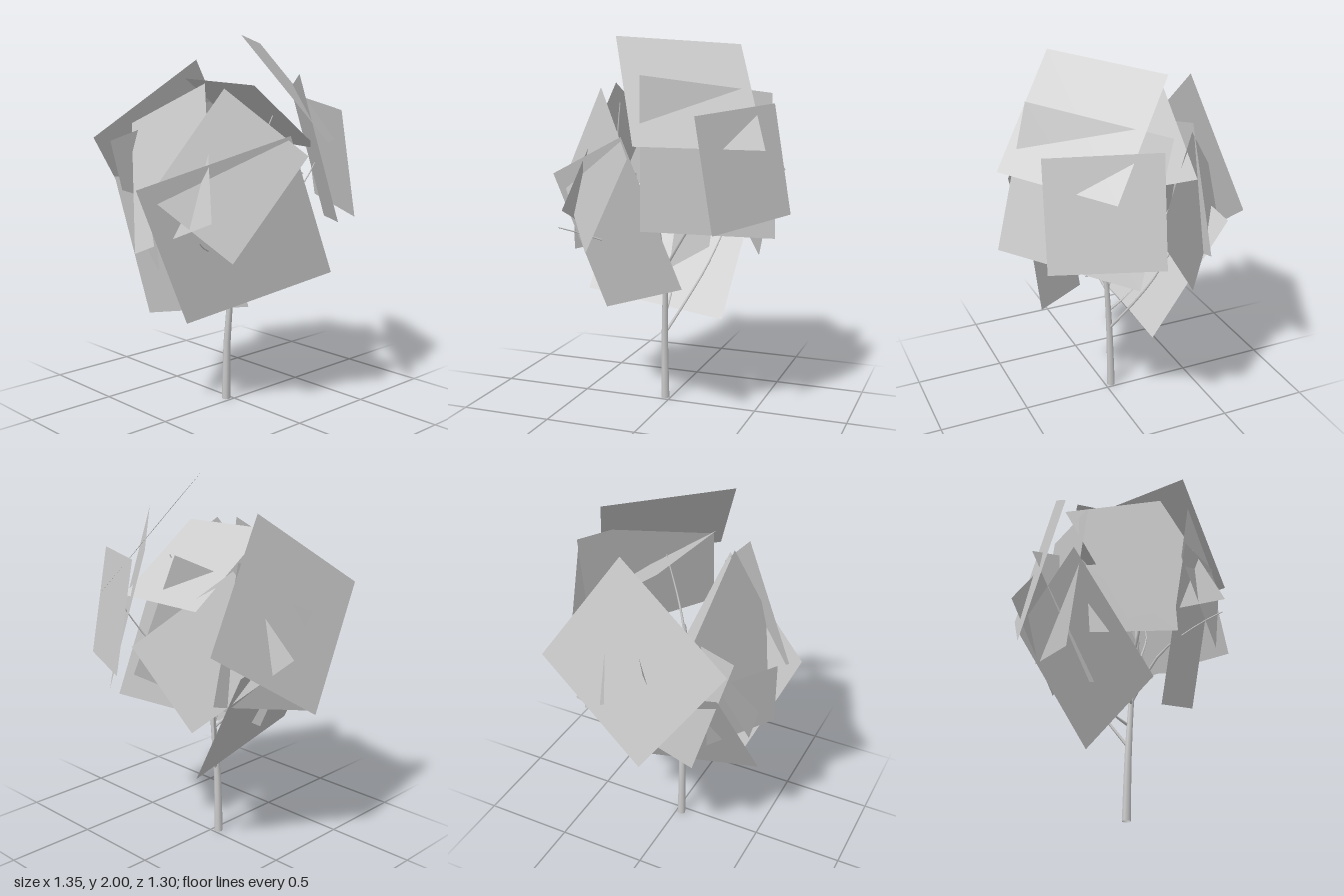
import * as THREE from 'three';

const V = (p) => new THREE.Vector3(...p);

// Tapered limb along a smooth path
function limb(name, points, r0, r1, sides, material) {
  const curve = new THREE.CatmullRomCurve3(points.map(V));
  const steps = 8;
  const geo = new THREE.TubeGeometry(curve, steps, 1, sides, false);
  const pos = geo.attributes.position;
  const p = new THREE.Vector3();
  for (let i = 0; i < pos.count; i++) {
    const t = Math.floor(i / (sides + 1)) / steps;
    const c = curve.getPointAt(t);
    p.fromBufferAttribute(pos, i).sub(c).multiplyScalar(THREE.MathUtils.lerp(r0, r1, t)).add(c);
    pos.setXYZ(i, p.x, Math.max(p.y, 0), p.z);
  }
  const mesh = new THREE.Mesh(geo, material);
  mesh.name = name;
  return mesh;
}

// Flat four-sided leaf card from a corner and its two neighbours
function leafCard([a, b, d], material) {
  const c = b.map((v, i) => v + d[i] - a[i]);
  const geo = new THREE.BufferGeometry();
  geo.setAttribute('position', new THREE.Float32BufferAttribute([...a, ...b, ...c, ...d], 3));
  geo.setIndex([0, 2, 1, 0, 3, 2]);
  geo.computeVertexNormals();
  const mesh = new THREE.Mesh(geo, material);
  mesh.name = 'leafCard';
  return mesh;
}

export function createModel() {
  const tree = new THREE.Group();
  tree.name = 'tree';
  const bark = new THREE.MeshStandardMaterial({ color: 0xcccccc, side: THREE.DoubleSide });
  const leaf = new THREE.MeshStandardMaterial({ color: 0xcccccc, side: THREE.DoubleSide });

  // Leaning trunk
  tree.add(limb('trunk', [[-0.03, 0, -0.035], [-0.03, 0.35, -0.025], [-0.02, 0.7, 0], [-0.05, 1.0, 0.02], [-0.03, 1.3, 0]],
    0.024, 0.007, 8, bark));

  // Branches reaching into the crown
  const branches = [
    [[-0.02, 0.39, -0.02], [0.07, 0.56, -0.11], [0.16, 0.74, -0.19], [0.26, 1.0, -0.28]],
    [[-0.02, 0.51, -0.02], [-0.03, 0.55, -0.1], [-0.04, 0.6, -0.18]],
    [[-0.02, 0.62, 0], [-0.12, 0.75, -0.1], [-0.22, 0.95, -0.27], [-0.28, 1.2, -0.38]],
    [[-0.03, 0.65, 0], [-0.2, 0.85, 0.08], [-0.4, 0.95, 0.2], [-0.51, 1.0, 0.3]],
    [[-0.02, 0.75, 0], [0.12, 0.95, 0.1], [0.3, 1.2, 0.22], [0.4, 1.35, 0.24]],
    [[-0.04, 0.9, 0], [-0.2, 1.15, 0], [-0.3, 1.4, -0.02], [-0.29, 1.65, -0.03]],
    [[-0.04, 1.1, 0.02], [0.05, 1.35, 0.1], [0.15, 1.6, 0.15]],
    [[-0.04, 1.05, 0], [0.02, 1.25, -0.2], [0.1, 1.4, -0.4]],
  ];
  for (const path of branches) tree.add(limb('branch', path, 0.009, 0.003, 5, bark));

  // Large leaf cards forming the crown
  const crown = new THREE.Group();
  crown.name = 'crown';
  const cards = [
    // top and right front
    [[-0.19, 2.0, 0.25], [0.35, 1.96, -0.16], [0.05, 1.48, 0.62]],
    [[0.31, 1.62, 0.48], [0.57, 1.66, -0.04], [0.41, 1.05, 0.5]],
    [[0.02, 1.81, 0.45], [0.54, 1.71, -0.1], [0.1, 1.08, 0.65]],
    // left front
    [[-0.36, 0.51, 0.02], [0.25, 0.77, 0.48], [-0.68, 1.25, 0.02]],
    [[-0.285, 1.74, 0.23], [-0.01, 1.41, 0.545], [-0.61, 1.21, 0.03]],
    // back
    [[-0.52, 0.58, -0.09], [0.26, 0.45, -0.155], [-0.44, 1.25, -0.48]],
    [[0.1, 1.87, -0.42], [0.52, 1.26, -0.52], [-0.52, 1.46, -0.555]],
    [[0.57, 1.22, -0.02], [0.22, 1.6, -0.375], [0.43, 0.8, -0.3]],
    [[-0.5, 1.45, -0.43], [0.2, 1.64, -0.39], [-0.3, 0.77, -0.46]],
    // inside the crown
    [[-0.05, 1.77, -0.34], [0.41, 1.42, -0.31], [-0.09, 1.75, 0.24]],
    [[0.32, 0.95, 0.265], [-0.11, 0.68, -0.27], [0.32, 1.65, -0.07]],
    // left side
    [[-0.27, 1.76, 0.07], [-0.31, 1.53, -0.49], [-0.47, 1.1, 0.34]],
    [[-0.34, 1.22, -0.38], [-0.56, 1.2, 0], [-0.33, 0.85, -0.35]],
  ];
  for (const card of cards) crown.add(leafCard(card, leaf));
  tree.add(crown);
  return tree;
}
